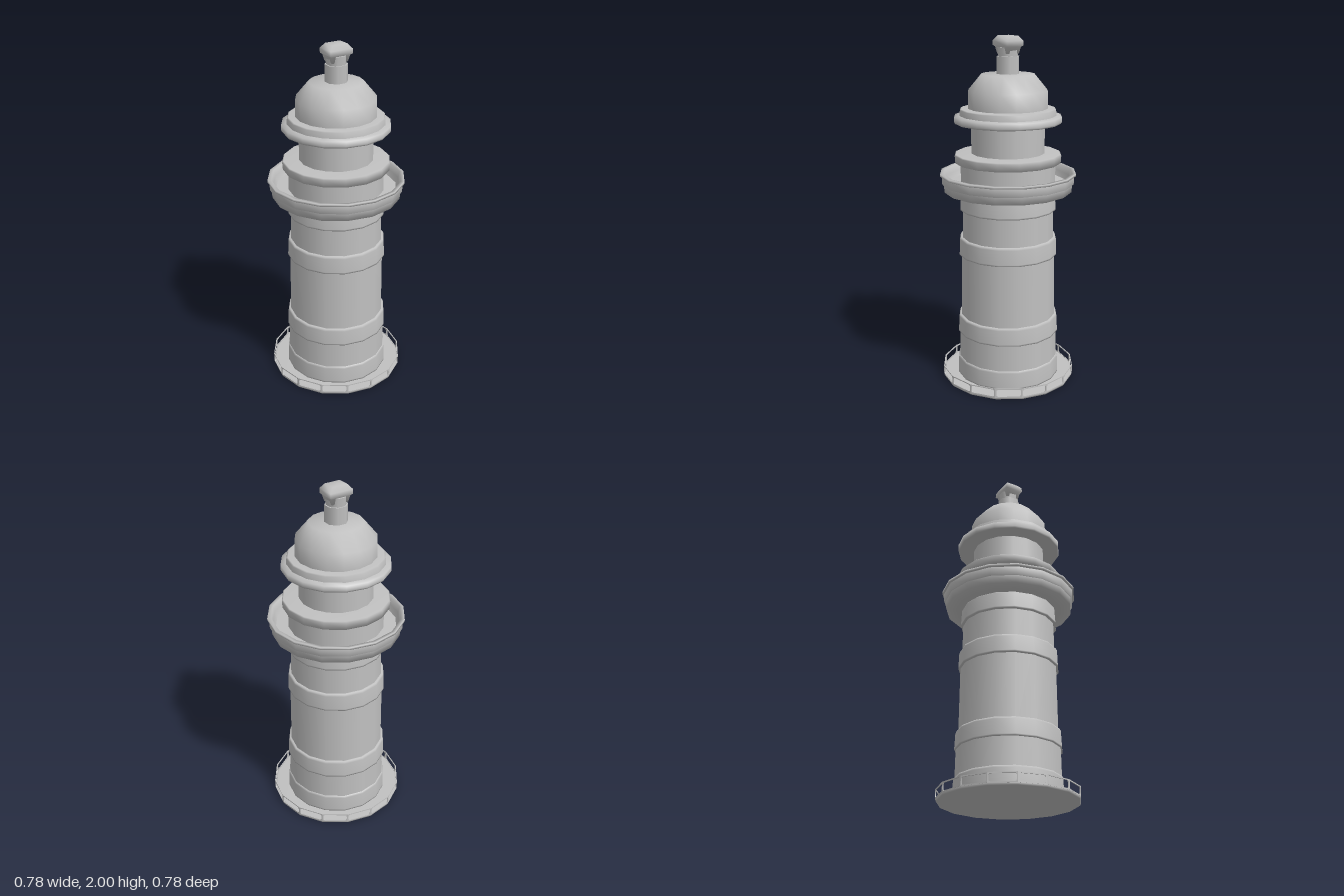
import * as THREE from 'three';

const SIDES = 16;
const stone = new THREE.MeshStandardMaterial({ color: 0xc0c0c0 });
stone.name = 'pale grey';

function add(parent, name, geometry) {
  const mesh = new THREE.Mesh(geometry, stone);
  mesh.name = name;
  parent.add(mesh);
  return mesh;
}

// Profile points are [radius, height], listed from bottom to top.
function turned(points, sides = SIDES) {
  return new THREE.LatheGeometry(points.map(([r, y]) => new THREE.Vector2(r, y)), sides);
}

// Flat-sided ring or drum with crisp edges between wall, top and bottom.
function drum(r0, r1, y0, y1) {
  return new THREE.CylinderGeometry(r1, r0, y1 - y0, SIDES).translate(0, (y0 + y1) / 2, 0);
}

function band(parent, name, r0, r1, y0, y1, inner) {
  const b = 0.012;
  add(parent, name, turned([[inner, y0], [r0, y0 + 0.003], [r0, y0 + b], [r1, y1 - b], [r1 - 0.006, y1], [inner, y1]]));
}

// One framed railing opening with rounded corners.
function railPanel(width, y0, y1) {
  const m = 0.006, c = 0.012, w = width / 2;
  const shape = new THREE.Shape([
    new THREE.Vector2(-w, y0), new THREE.Vector2(w, y0),
    new THREE.Vector2(w, y1), new THREE.Vector2(-w, y1)]);
  const a = w - m, lo = y0 + m, hi = y1 - m;
  const hole = new THREE.Path();
  hole.moveTo(-a + c, lo);
  hole.lineTo(a - c, lo);
  hole.quadraticCurveTo(a, lo, a, lo + c);
  hole.lineTo(a, hi - c);
  hole.quadraticCurveTo(a, hi, a - c, hi);
  hole.lineTo(-a + c, hi);
  hole.quadraticCurveTo(-a, hi, -a, hi - c);
  hole.lineTo(-a, lo + c);
  hole.quadraticCurveTo(-a, lo, -a + c, lo);
  shape.holes.push(hole);
  return new THREE.ExtrudeGeometry(shape, { depth: 0.005, bevelEnabled: false, curveSegments: 4 });
}

export function createModel() {
  const model = new THREE.Group();
  model.name = 'lighthouse';

  // Base platform with a shallow recess underneath
  add(model, 'basePlatform', turned([[0, 0.01], [0.3, 0.01], [0.32, 0], [0.385, 0], [0.39, 0.015], [0.38, 0.018], [0.28, 0.018]]));

  // Railing around the platform
  const railing = new THREE.Group();
  railing.name = 'baseRailing';
  model.add(railing);
  const step = (2 * Math.PI) / SIDES;
  const panel = railPanel(2 * 0.39 * Math.sin(step / 2), 0.012, 0.066);
  for (let i = 0; i < SIDES; i++) {
    const pivot = add(railing, 'railPanel', panel);
    const a = (i + 0.5) * step, d = 0.39 * Math.cos(step / 2) - 0.005;
    pivot.position.set(Math.sin(a) * d, 0, Math.cos(a) * d);
    pivot.rotation.y = a;
  }

  // Tower wall in gently tapering stages
  const tower = new THREE.Group();
  tower.name = 'tower';
  model.add(tower);
  add(tower, 'lowerWall', drum(0.292, 0.288, 0.015, 0.3));
  add(tower, 'middleWall', drum(0.277, 0.273, 0.3, 0.8));
  add(tower, 'upperWall', drum(0.266, 0.262, 0.8, 1.15));

  // Raised bands around the wall
  band(tower, 'plinth', 0.3, 0.298, 0.015, 0.127, 0.28);
  band(tower, 'lowerBand', 0.296, 0.292, 0.28, 0.387, 0.26);
  band(tower, 'middleBand', 0.285, 0.282, 0.753, 0.861, 0.255);
  band(tower, 'topBand', 0.277, 0.272, 1.02, 1.13, 0.25);

  // Gallery bowl: stepped outside, sunken floor inside
  const gallery = new THREE.Group();
  gallery.name = 'gallery';
  model.add(gallery);
  add(gallery, 'galleryUnderside', turned([[0.25, 1.12], [0.3, 1.128], [0.365, 1.13], [0.37, 1.175]]));
  add(gallery, 'galleryStep', turned([[0.36, 1.172], [0.378, 1.176], [0.38, 1.222], [0.37, 1.225]]));
  add(gallery, 'galleryRim', turned([[0.365, 1.222], [0.39, 1.224], [0.39, 1.237], [0.368, 1.237], [0.36, 1.2], [0.345, 1.17]]));
  add(gallery, 'galleryFloor', turned([[0.347, 1.17], [0.25, 1.172]]));

  // Lantern room
  const lantern = new THREE.Group();
  lantern.name = 'lantern';
  model.add(lantern);
  add(lantern, 'lanternBase', drum(0.272, 0.272, 1.16, 1.3));
  add(lantern, 'lanternLedge', turned([[0.26, 1.295], [0.302, 1.297], [0.305, 1.34], [0.298, 1.346], [0.2, 1.35]]));
  add(lantern, 'lanternWall', drum(0.21, 0.21, 1.34, 1.53));

  // Roof: brim, collar and dome
  const roof = new THREE.Group();
  roof.name = 'roof';
  model.add(roof);
  add(roof, 'brim', turned([[0.2, 1.52], [0.3, 1.52], [0.305, 1.53], [0.305, 1.558], [0.27, 1.565]]));
  add(roof, 'collar', turned([[0.276, 1.558], [0.272, 1.595], [0.264, 1.6], [0.215, 1.603]]));
  add(roof, 'dome', turned([[0.226, 1.6], [0.225, 1.7], [0.15, 1.79], [0, 1.792]]));

  // Finial: stem, neck and a turned four-sided cap
  const finial = new THREE.Group();
  finial.name = 'finial';
  model.add(finial);
  add(finial, 'stem', new THREE.CylinderGeometry(0.064, 0.064, 0.105, 8).translate(0, 1.835, 0));
  add(finial, 'neck', new THREE.CylinderGeometry(0.06, 0.056, 0.05, 8).translate(0, 1.912, 0));
  const cap = turned([[0, 1.9], [0.72, 1.902], [0.85, 1.938], [1, 1.945], [1, 1.972], [0.68, 1.998], [0, 2]], 4);
  cap.rotateY(Math.PI / 4).scale(0.0764, 1, 0.0976).rotateY(-0.38);
  add(finial, 'cap', cap);

  return model;
}
